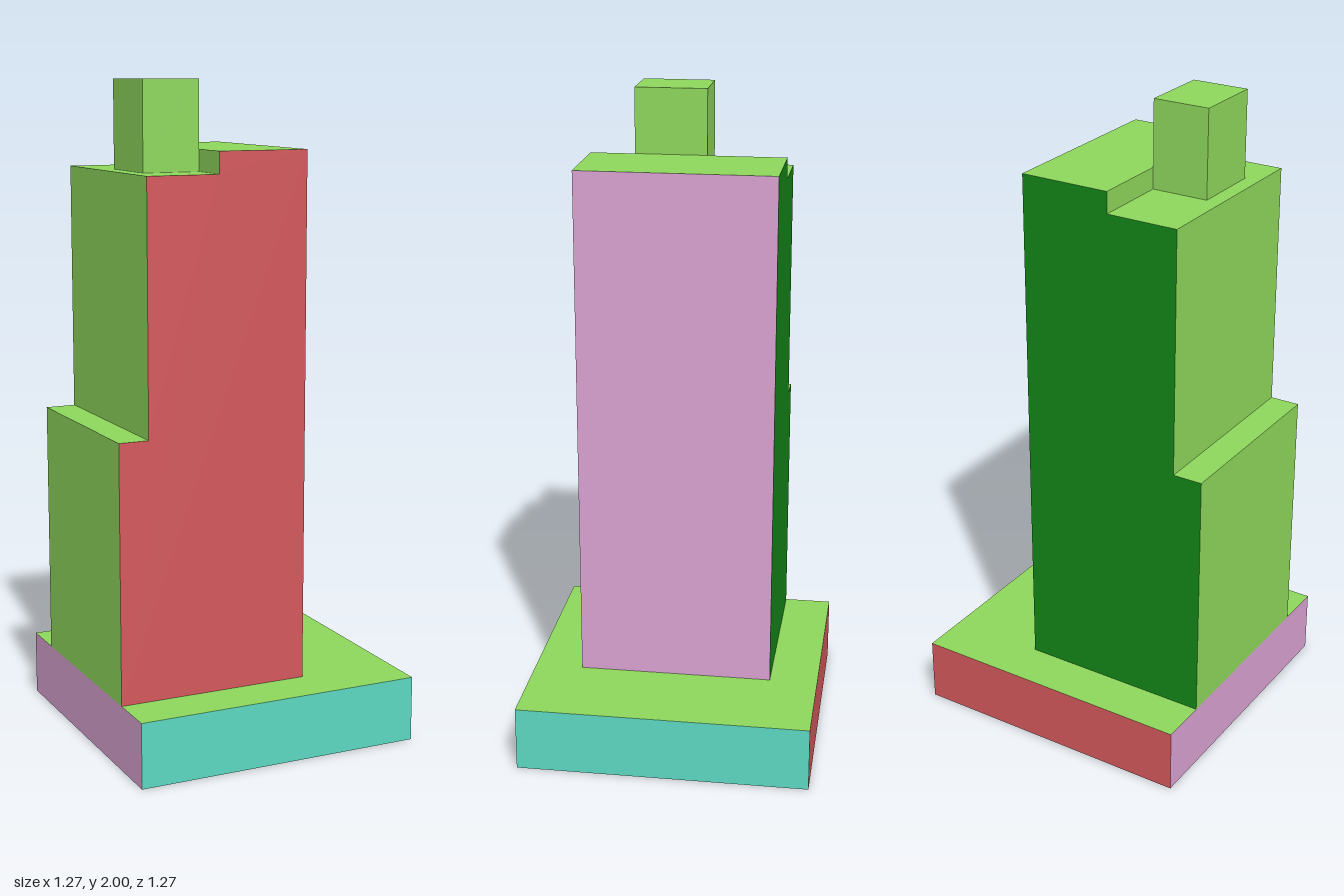
import * as THREE from 'three';

const paint = (color) => new THREE.MeshStandardMaterial({ color, side: THREE.DoubleSide });

export function createModel() {
  const green = paint(0x8ed85c), darkGreen = paint(0x138717), red = paint(0xd4595d);
  const teal = paint(0x5dd9c1), pink = paint(0xdba3d3);

  const model = new THREE.Group();
  model.name = 'tower';
  // The plan is square-on in this group, then turned 45 degrees
  const plan = new THREE.Group();
  plan.name = 'turnedPlan';
  plan.rotation.y = -Math.PI / 4;
  model.add(plan);

  const add = (name, geometry, material) => {
    const mesh = new THREE.Mesh(geometry, material);
    mesh.name = name;
    plan.add(mesh);
  };
  const shape = (points) => new THREE.Shape(points.map(([a, b]) => new THREE.Vector2(a, b)));

  // Upright sheets: facing along z (dir +1 or -1), and along x
  const zWall = (name, x0, x1, y0, y1, z, dir, material) => add(name,
    new THREE.PlaneGeometry(x1 - x0, y1 - y0).rotateY(dir > 0 ? 0 : Math.PI)
      .translate((x0 + x1) / 2, (y0 + y1) / 2, z), material);
  const xWall = (name, profile, x, dir, material) => add(name,
    new THREE.ShapeGeometry(shape(profile.map(([z, y]) => [-dir * z, y])))
      .rotateY(dir * Math.PI / 2).translate(x, 0, 0), material);
  // Level sheet facing up, outlined by [x, z] points
  const deck = (name, points, y) => add(name,
    new THREE.ShapeGeometry(shape(points.map(([x, z]) => [x, -z])))
      .rotateX(-Math.PI / 2).translate(0, y, 0), green);
  const rect = (a0, a1, b0, b1) => [[a0, b0], [a1, b0], [a1, b1], [a0, b1]];

  const B = 0.449, W = 0.3, back = -0.148;
  const ridge = 0.134, mid = 0.357; // depths of the setbacks
  const y0 = 0.2, y1 = 0.985, y2 = 1.735, y3 = 1.8, top = 2;

  // Plinth: open below, its deck cut out under the tower
  zWall('plinthFront', -B, B, 0, y0, B, 1, pink);
  zWall('plinthBack', -B, B, 0, y0, -B, -1, teal);
  xWall('plinthLeft', rect(-B, B, 0, y0), B, 1, teal);
  xWall('plinthRight', rect(-B, B, 0, y0), -B, -1, red);
  deck('plinthDeck', [[-B, -B], [B, -B], [B, B], [W, B], [W, back], [-W, back], [-W, B], [-B, B]], y0);

  // Tower: stepped side walls with front risers between the setbacks
  const profile = [[back, y0], [B, y0], [B, y1], [mid, y1], [mid, y2], [ridge, y2], [ridge, y3], [back, y3]];
  xWall('towerLeftWall', profile, W, 1, red);
  xWall('towerRightWall', profile, -W, -1, darkGreen);
  zWall('towerBackWall', -W, W, y0, y3, back, -1, pink);
  zWall('towerLowerFront', -W, W, y0, y1, B, 1, green);
  zWall('towerUpperFront', -W, W, y1, y2, mid, 1, green);
  zWall('roofRiser', -W, W, y2, y3, ridge, 1, green);

  // Roof terraces, the middle one cut out under the turret
  const t0 = -0.058, t1 = 0.163, tz = 0.31;
  deck('lowerTerrace', rect(-W, W, mid, B), y1);
  deck('upperTerrace', [[-W, ridge], [t0, ridge], [t0, tz], [t1, tz], [t1, ridge], [W, ridge], [W, mid], [-W, mid]], y2);
  deck('roof', rect(-W, W, back, ridge), y3);

  // Turret standing against the roof riser
  zWall('turretFront', t0, t1, y2, top, tz, 1, green);
  zWall('turretBack', t0, t1, y3, top, ridge, -1, green);
  xWall('turretLeft', rect(ridge, tz, y2, top), t1, 1, green);
  xWall('turretRight', rect(ridge, tz, y2, top), t0, -1, green);
  deck('turretRoof', rect(t0, t1, ridge, tz), top);

  return model;
}
